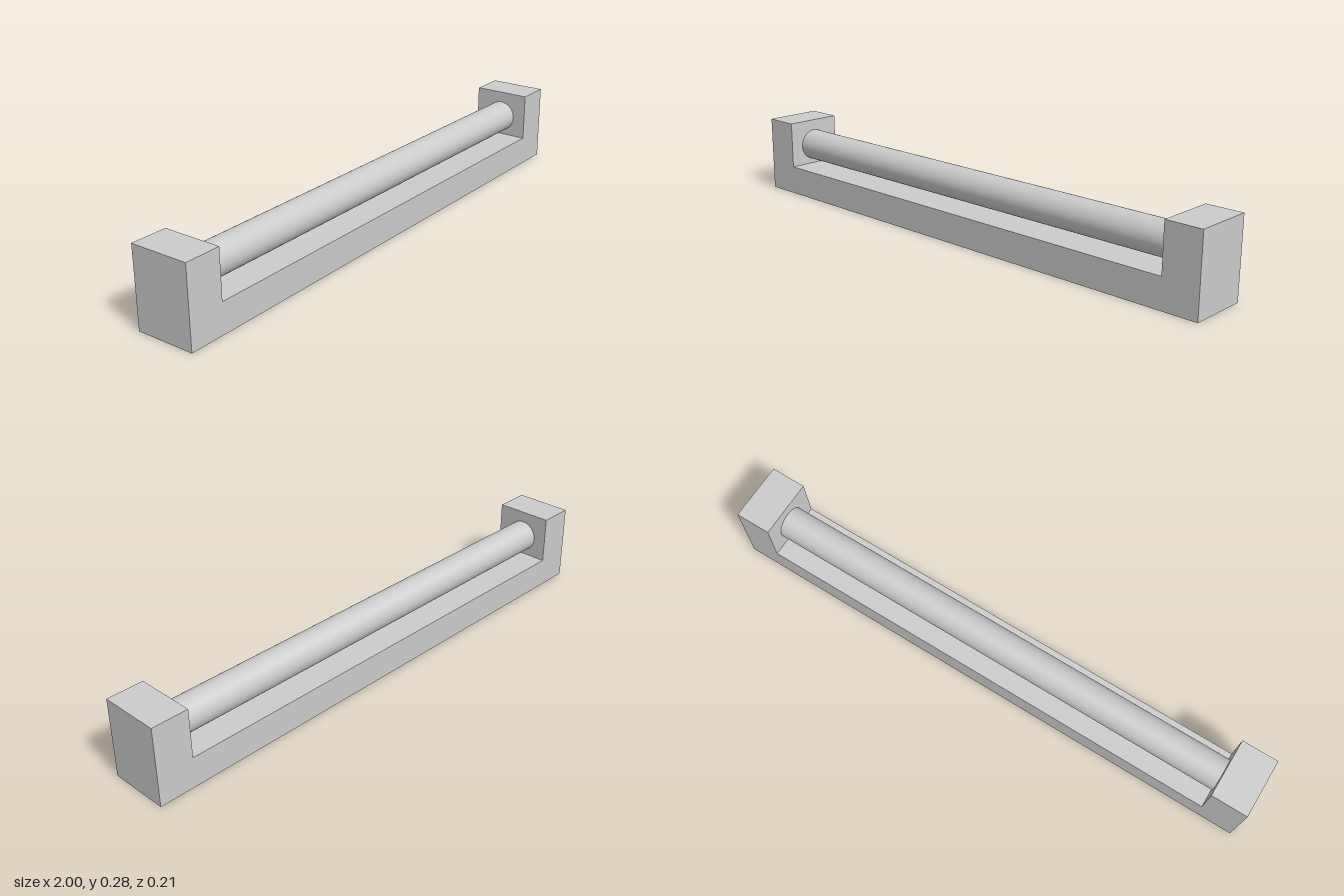
import * as THREE from 'three';

export function createModel() {
  const group = new THREE.Group();
  const material = new THREE.MeshStandardMaterial({ color: 0xcccccc });
  const depth = 0.213, height = 0.28, baseTop = 0.107, inner = 0.87;

  // U-shaped holder: base bar with an upright block at each end
  const profile = new THREE.Shape([
    [-1, 0], [1, 0], [1, height], [inner, height],
    [inner, baseTop], [-inner, baseTop], [-inner, height], [-1, height],
  ].map(([x, y]) => new THREE.Vector2(x, y)));
  const holderGeometry = new THREE.ExtrudeGeometry(profile, { depth, bevelEnabled: false });
  holderGeometry.translate(0, 0, -depth / 2);
  const holder = new THREE.Mesh(holderGeometry, material);
  holder.name = 'holder';
  group.add(holder);

  // Round rod spanning the gap between the end blocks
  const rod = new THREE.Mesh(new THREE.CylinderGeometry(0.058, 0.058, 2 * inner, 48), material);
  rod.name = 'rod';
  rod.rotation.z = Math.PI / 2;
  rod.position.y = 0.182;
  group.add(rod);

  return group;
}
